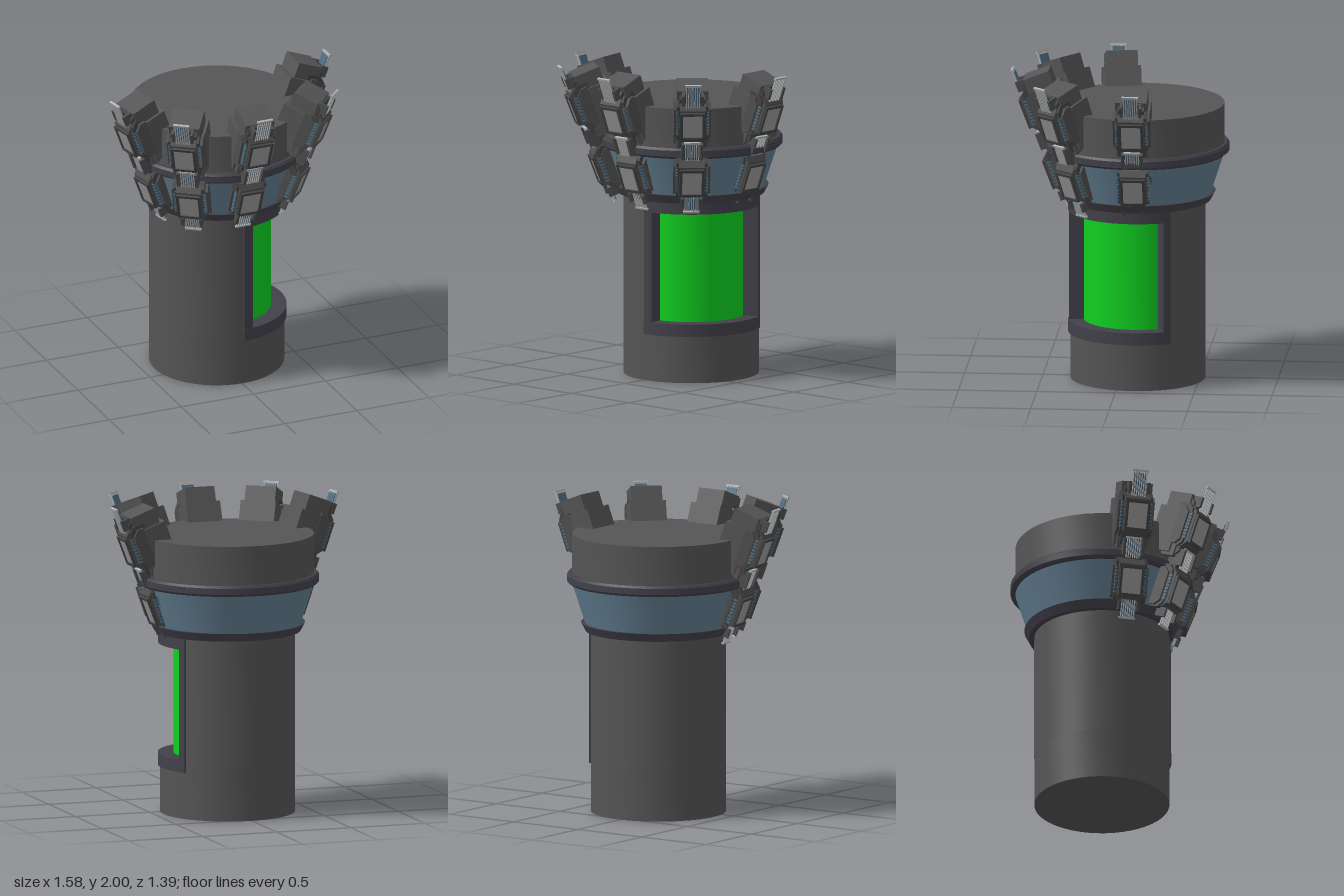
import * as THREE from 'three';
import { toCreasedNormals } from 'three/addons/utils/BufferGeometryUtils.js';

const mat = (color) => new THREE.MeshStandardMaterial({ color });
const M = {
  hull: mat(0x555555), trim: mat(0x42414a), glass: mat(0x637f92), screen: mat(0x0fd020),
  dark: mat(0x444444), mid: mat(0x4e4e4e), plate: mat(0x9c9c9c), pin: mat(0xb0b4b6), blue: mat(0x4f6c80),
};
const rad = THREE.MathUtils.degToRad;

function add(parent, name, geometry, material) {
  const mesh = new THREE.Mesh(geometry, material);
  mesh.name = name;
  parent.add(mesh);
  return mesh;
}

// Solid of revolution from [radius, height] pairs
function turned(parent, name, pts, material) {
  const g = new THREE.LatheGeometry(pts.map(([x, y]) => new THREE.Vector2(x, y)), 48);
  return add(parent, name, toCreasedNormals(g, 0.4), material);
}

// Curved wall block between two radii, angles in degrees (+x is 0, back is 90)
function sector(parent, name, r0, r1, a0, a1, y0, y1, material) {
  const s = new THREE.Shape();
  s.absarc(0, 0, r1, rad(a0), rad(a1), false);
  s.absarc(0, 0, r0, rad(a1), rad(a0), true);
  s.closePath();
  const g = new THREE.ExtrudeGeometry(s, { depth: y1 - y0, bevelEnabled: false, curveSegments: 32 });
  g.rotateX(-Math.PI / 2).translate(0, y0, 0);
  return add(parent, name, toCreasedNormals(g, 0.4), material);
}

// Box given by its centre across, width, and ranges along (y) and outward (z)
function block(parent, name, x, w, y0, y1, z0, z1, material) {
  const g = new THREE.BoxGeometry(w, y1 - y0, z1 - z0);
  g.translate(x, (y0 + y1) / 2, (z0 + z1) / 2);
  return add(parent, name, g, material);
}

// Slab whose outer long edges are cut off at the top and bottom
function slab(parent, name, x, w, y0, y1, z0, z1, c, material) {
  const s = new THREE.Shape();
  [[z0, y0], [z1 - c, y0], [z1, y0 + c], [z1, y1 - c], [z1 - c, y1], [z0, y1]]
    .forEach(([z, y], i) => (i ? s.lineTo(-z, y) : s.moveTo(-z, y)));
  const g = new THREE.ExtrudeGeometry(s, { depth: w, bevelEnabled: false });
  g.translate(0, 0, -w / 2).rotateY(Math.PI / 2).translate(x, 0, 0);
  return add(parent, name, g, material);
}

// Row of thin prongs with cross bars
function prongs(parent, y0, y1, z, tipAtTop) {
  const g = new THREE.Group();
  g.name = 'prongs';
  for (let i = -3; i <= 3; i++) block(g, 'prong', i * 0.014, 0.006, y0, y1, z - 0.01, z, M.pin);
  const tip = tipAtTop ? y1 - 0.012 : y0;
  block(g, 'prongTipBar', 0, 0.105, tip, tip + 0.012, z - 0.012, z + 0.003, M.pin);
  block(g, 'prongBacking', 0, 0.08, y0 + 0.02, y1 - 0.02, z - 0.016, z - 0.008, M.blue);
  parent.add(g);
}

// Framed unit carrying a pale plate, with ribbed strips on both sides
function plateUnit(parent, y0, name) {
  const g = new THREE.Group();
  g.name = name;
  g.position.y = y0;
  slab(g, 'unitBase', 0, 0.2, -0.01, 0.28, -0.14, -0.03, 0.03, M.dark);
  slab(g, 'unitFrame', 0, 0.165, 0.0, 0.27, -0.08, -0.005, 0.035, M.mid);
  block(g, 'plate', 0, 0.125, 0.045, 0.205, -0.02, 0.004, M.plate);
  block(g, 'frameTop', 0, 0.15, 0.205, 0.222, -0.02, 0.012, M.dark);
  block(g, 'frameBottom', 0, 0.15, 0.028, 0.045, -0.02, 0.012, M.dark);
  for (const side of [-1, 1]) {
    block(g, 'frameSide', side * 0.07, 0.016, 0.03, 0.22, -0.02, 0.012, M.dark);
    slab(g, 'sideWing', side * 0.105, 0.026, 0.0, 0.255, -0.12, -0.045, 0.035, M.mid);
    block(g, 'sideStrip', side * 0.092, 0.014, 0.04, 0.225, -0.05, -0.022, M.dark);
    for (let i = 0; i < 8; i++)
      block(g, 'rib', side * 0.096, 0.014, 0.046 + i * 0.022, 0.06 + i * 0.022, -0.045, -0.018, M.blue);
  }
  parent.add(g);
}

// Leaning pylon: y runs up along the slope, z points outward
function pylon(x, z, degrees) {
  const outer = new THREE.Group();
  outer.name = 'pylon';
  outer.position.set(x, 0, z);
  outer.rotation.y = rad(degrees);
  const g = new THREE.Group();
  g.name = 'pylonBody';
  g.position.set(0, 1.2, 0.06);
  g.rotation.x = rad(21);
  outer.add(g);
  block(g, 'rearBlock', 0, 0.232, 0.36, 0.66, -0.27, -0.1, M.hull);
  block(g, 'upperBlock', 0, 0.2, 0.34, 0.762, -0.24, -0.07, M.hull);
  slab(g, 'upperStep', 0, 0.17, 0.36, 0.735, -0.1, -0.045, 0.02, M.dark);
  block(g, 'spine', 0, 0.13, -0.03, 0.76, -0.12, -0.045, M.dark);
  plateUnit(g, 0.0, 'lowerUnit');
  plateUnit(g, 0.42, 'upperUnit');
  prongs(g, 0.67, 0.84, -0.012, true);
  prongs(g, 0.275, 0.41, -0.022, true);
  prongs(g, -0.115, 0.01, -0.03, false);
  // Sockets holding the prongs
  for (const [a, b] of [[0.69, 0.76], [0.29, 0.4], [-0.06, 0]])
    for (const side of [-1, 1]) block(g, 'prongSocket', side * 0.06, 0.018, a, b, -0.08, -0.008, M.mid);
  return outer;
}

export function createModel() {
  const root = new THREE.Group();
  root.name = 'tower';
  const core = new THREE.Group();
  core.name = 'core';
  core.position.set(0.01, 0, -0.107);
  root.add(core);

  // Shaft with a recessed screen
  turned(core, 'base', [[0, 0], [0.43, 0], [0.43, 0.33], [0, 0.33]], M.hull);
  sector(core, 'shaftWall', 0.3, 0.43, 29, 274, 0.33, 1.14, M.hull);
  turned(core, 'shaftTop', [[0, 1.13], [0.43, 1.13], [0.43, 1.18], [0, 1.18]], M.hull);
  sector(core, 'screen', 0.32, 0.345, -86, 30, 0.34, 1.12, M.screen);

  // Frame around the recess
  sector(core, 'frameSill', 0.32, 0.444, -90, 32, 0.3, 0.38, M.trim);
  sector(core, 'frameHead', 0.32, 0.444, -90, 32, 1.09, 1.175, M.trim);
  sector(core, 'frameFrontPost', 0.32, 0.44, -90, -82, 0.32, 1.15, M.trim);
  sector(core, 'frameRearPost', 0.32, 0.444, 26, 32, 0.32, 1.15, M.trim);

  // Flared head with window band, two rings and a drum
  turned(core, 'lowerRing', [[0, 1.165], [0.465, 1.165], [0.493, 1.218], [0, 1.218]], M.trim);
  turned(core, 'windowBand', [[0, 1.2], [0.462, 1.2], [0.553, 1.48], [0, 1.48]], M.glass);
  turned(core, 'upperRing', [[0, 1.47], [0.565, 1.47], [0.582, 1.485], [0.582, 1.525], [0.57, 1.54], [0, 1.54]], M.trim);
  turned(core, 'drum', [[0, 1.53], [0.55, 1.53], [0.55, 1.79], [0, 1.79]], M.hull);

  // Pylons around the front half: inner edge position and heading
  [[0.435, -0.115, 90], [0.33, 0.235, 45], [-0.003, 0.35, 0], [-0.32, 0.27, -36], [-0.44, 0.02, -80]]
    .forEach((p) => root.add(pylon(...p)));
  return root;
}
